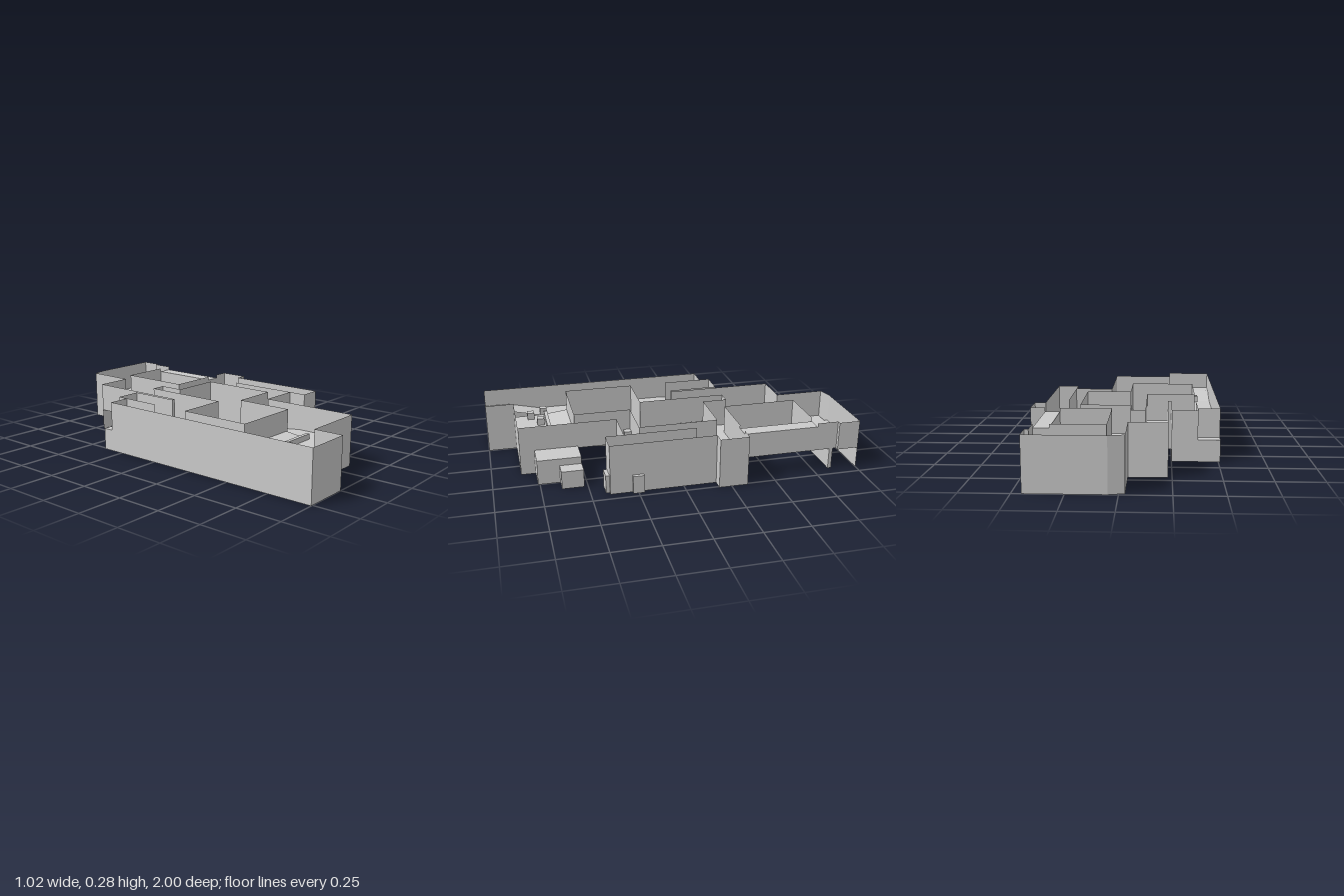
import * as THREE from 'three';

const TOP = 0.28, MID = 0.12;

export function createModel() {
  const model = new THREE.Group();
  const material = new THREE.MeshStandardMaterial({
    color: 0xcccccc, flatShading: true, side: THREE.DoubleSide,
  });

  const quads = (name, corners) => {
    const geo = new THREE.BufferGeometry();
    geo.setAttribute('position', new THREE.Float32BufferAttribute(corners.flat(), 3));
    const index = [];
    for (let i = 0; i < corners.length; i += 4) index.push(i, i + 1, i + 2, i, i + 2, i + 3);
    geo.setIndex(index);
    geo.computeVertexNormals();
    const mesh = new THREE.Mesh(geo, material);
    mesh.name = name;
    model.add(mesh);
  };

  // Thin upright wall following a plan path of [x, z] points
  const wall = (name, bottom, path, top = TOP) => {
    const corners = [];
    for (let i = 0; i + 1 < path.length; i++) {
      const [[a, b], [c, d]] = [path[i], path[i + 1]];
      corners.push([a, bottom, b], [c, bottom, d], [c, top, d], [a, top, b]);
    }
    quads(name, corners);
  };

  // Floor panel; its height may change from z0 to z1 to make a ramp
  const floor = (name, x0, x1, z0, z1, y0, y1 = y0) =>
    quads(name, [[x0, y0, z0], [x0, y1, z1], [x1, y1, z1], [x1, y0, z0]]);

  const box = (name, x0, x1, y0, y1, z0, z1) => {
    const mesh = new THREE.Mesh(new THREE.BoxGeometry(x1 - x0, y1 - y0, z1 - z0), material);
    mesh.position.set((x0 + x1) / 2, (y0 + y1) / 2, (z0 + z1) / 2);
    mesh.name = name;
    model.add(mesh);
  };

  // Long west corridor and south hall
  wall('westOuterWall', 0, [[-0.39, -0.32], [-0.51, -0.32], [-0.51, 1], [-0.25, 1],
    [-0.25, 0.84], [0.11, 0.84], [0.11, 0.76]]);
  wall('southHallEastWall', 0.14, [[0.11, 0.76], [0.11, 0.52]]);
  wall('courtyardWall', 0, [[-0.01, 0.52], [-0.39, 0.52], [-0.39, 0.12], [-0.11, 0.12], [-0.11, -0.1]]);
  floor('corridorNorthFloor', -0.51, -0.39, -0.32, -0.28, MID);
  floor('corridorNorthRamp', -0.51, -0.39, -0.28, -0.1, MID, 0.14);
  floor('corridorFloor', -0.51, -0.39, -0.1, 0.68, 0.14);
  floor('corridorSouthRamp', -0.51, -0.39, 0.68, 0.86, 0.14, 0.18);
  floor('corridorEndFloor', -0.51, -0.25, 0.86, 1, 0.18);
  floor('southHallFloor', -0.39, 0.11, 0.52, 0.84, 0.14);
  floor('southHallCorner', -0.39, -0.25, 0.84, 0.86, 0.14);
  floor('southLedge', -0.39, -0.02, 0.52, 0.64, 0.16, 0.145);
  box('ledgeRail', -0.37, -0.01, 0.14, 0.17, 0.64, 0.66);
  box('corridorNorthBlock', -0.51, -0.39, 0, MID, -0.38, -0.32);

  // West room, beside the corridor
  wall('westRoomWall', 0, [[-0.39, -0.1], [-0.39, -0.38], [-0.25, -0.38], [-0.25, -0.1], [-0.23, -0.1]]);
  floor('westRoomFloor', -0.39, -0.25, -0.38, 0.12, MID);
  floor('westRoomAnnexFloor', -0.25, -0.11, -0.1, 0.12, MID);

  // Raised north-west passage
  wall('passageWestWall', MID, [[-0.23, -0.1], [-0.23, -0.7]]);
  wall('passageNorthWall', 0, [[-0.23, -0.7], [-0.03, -0.7]]);
  wall('passageEastWall', MID, [[-0.11, -0.1], [-0.11, -0.38], [-0.03, -0.38], [-0.03, -0.24], [0.25, -0.24]]);
  floor('passageFloor', -0.23, -0.11, -0.38, -0.1, MID);
  floor('passageRoomFloor', -0.23, -0.03, -0.7, -0.38, MID);

  // North hall around its light well
  wall('northHallBackWall', 0, [[-0.03, -0.7], [-0.03, -0.98], [0.05, -1], [0.45, -1]]);
  wall('northHallEastWall', MID, [[0.45, -1], [0.45, -0.88], [0.43, -0.88], [0.43, -0.76]]);
  wall('lightWellWall', MID, [[0.35, -0.76], [0.07, -0.76], [0.07, -0.34], [0.35, -0.34]]);
  floor('northHallFloor', -0.03, 0.43, -0.98, -0.76, MID);
  floor('northHallAlcoveFloor', 0.05, 0.45, -1, -0.88, MID);
  floor('northHallWestFloor', -0.03, 0.07, -0.76, -0.24, MID);
  floor('northHallSouthFloor', 0.07, 0.25, -0.34, -0.24, MID);
  box('eastBridge', 0.35, 0.43, MID, 0.26, -0.76, -0.34);
  box('northHallBeam', 0.07, 0.43, 0, 0.14, -0.86, -0.84);

  // East room and its ramp down to the ground
  wall('eastOuterWall', 0, [[0.43, -0.34], [0.51, -0.34], [0.51, -0.18], [0.45, -0.18],
    [0.45, 0.4], [0.33, 0.4], [0.33, -0.1]]);
  floor('eastRoomFloor', 0.25, 0.51, -0.34, -0.18, MID);
  floor('eastLandingFloor', 0.25, 0.45, -0.18, -0.1, MID);
  floor('eastRamp', 0.33, 0.45, -0.1, 0.13, MID, 0);
  floor('eastLowerFloor', 0.33, 0.45, 0.13, 0.4, 0);

  // Link passage back to the south hall
  wall('linkInnerWall', 0, [[0.25, -0.24], [0.25, 0.2], [-0.01, 0.2]]);
  wall('linkWestWall', MID, [[-0.01, 0.2], [-0.01, 0.52]]);
  wall('linkSouthWall', 0, [[0.33, 0.3], [0.11, 0.3]]);
  wall('linkEastWall', 0.13, [[0.11, 0.3], [0.11, 0.52]]);
  floor('linkFloor', 0.25, 0.33, -0.1, 0.3, MID);
  floor('linkTurnFloor', -0.01, 0.25, 0.2, 0.3, MID);
  floor('linkLandingFloor', -0.01, 0.11, 0.3, 0.34, MID);
  floor('linkRamp', -0.01, 0.11, 0.34, 0.52, MID, 0.14);
  wall('linkDivider', MID, [[0.31, -0.1], [0.31, 0.3]], 0.16);

  // Outside platforms and doors
  box('largePlatform', 0.11, 0.25, 0, 0.14, 0.52, 0.76);
  box('smallPlatform', 0.25, 0.33, 0, 0.1, 0.52, 0.64);
  box('southDoor', 0.35, 0.43, 0, 0.1, 0.4, 0.42);
  box('eastDoor', 0.45, 0.47, 0, 0.1, 0.22, 0.28);

  // Crates inside the rooms: x0, x1, z0, z1, base height
  const crates = [
    [-0.27, -0.23, 0.67, 0.71, 0.14], [-0.37, -0.33, 0.72, 0.76, 0.14],
    [-0.43, -0.39, 0.64, 0.68, 0.14], [-0.31, -0.27, 0.08, 0.12, MID],
    [-0.23, -0.2, -0.16, -0.12, MID], [-0.21, -0.13, -0.385, -0.365, MID],
    [0.03, 0.07, -0.6, -0.54, MID], [-0.01, 0.03, 0.2, 0.24, MID],
  ];
  for (const [x0, x1, z0, z1, y] of crates) box('crate', x0, x1, y, y + 0.04, z0, z1);

  return model;
}
